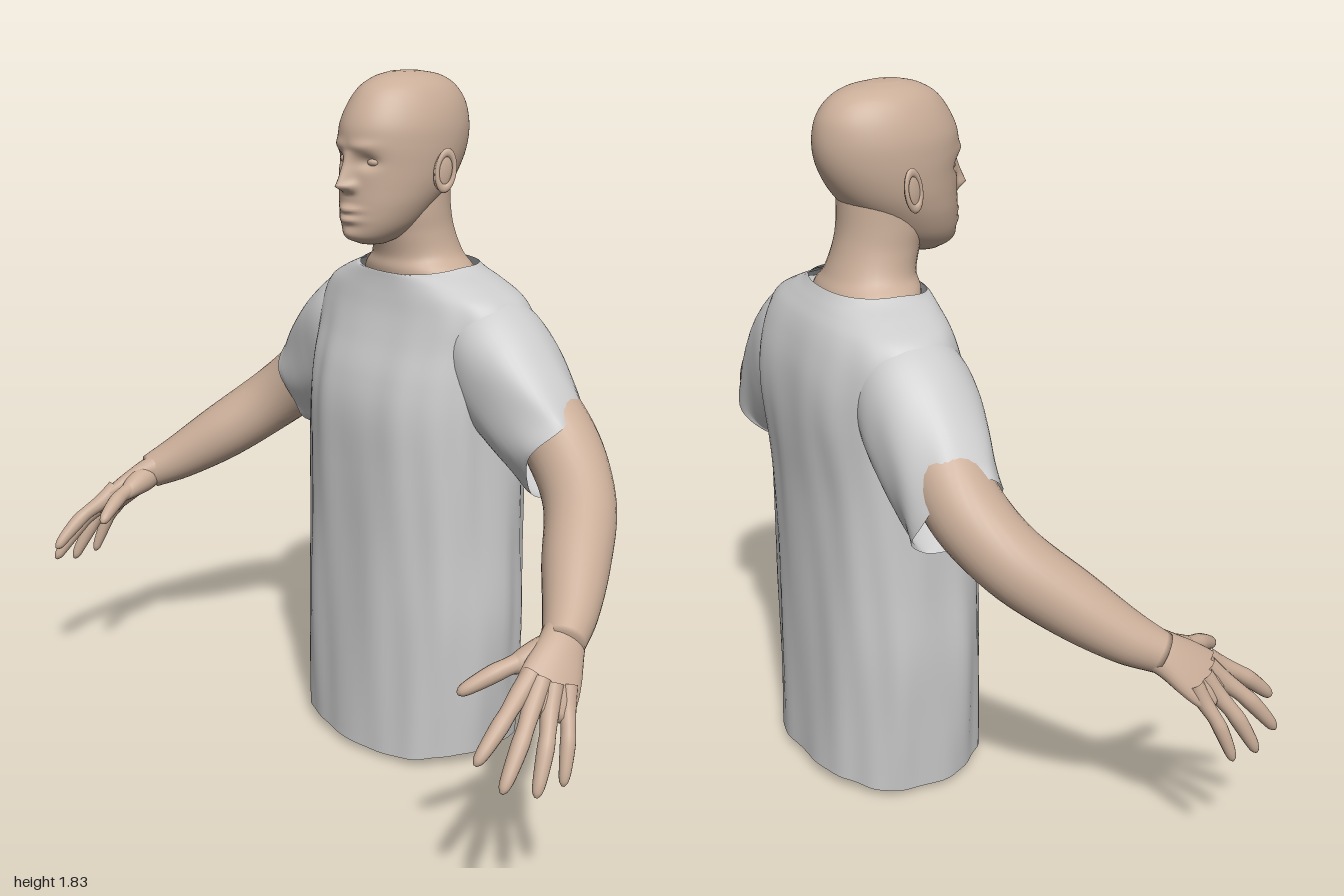
import * as THREE from 'three';

const V = (x, y, z) => new THREE.Vector3(x, y, z);
const gauss = (d, s) => Math.exp(-(d * d) / (s * s));
const skin = new THREE.MeshStandardMaterial({ color: 0xc9ad98 });
const cloth = new THREE.MeshStandardMaterial({ color: 0xcccccc, side: THREE.DoubleSide });

// Smooth skin through elliptical sections {c: centre, a, b: half axes}.
function loft(sections, { n = 32, steps = 40, power = 2, capStart, capEnd, deform } = {}) {
  const [C, A, B] = ['c', 'a', 'b'].map(
    (k) => new THREE.CatmullRomCurve3(sections.map((s) => s[k]), false, 'catmullrom', 0.5));
  const pos = [], index = [];
  const bend = (t) => Math.sign(t) * Math.pow(Math.abs(t), 2 / power);
  for (let i = 0; i <= steps; i++) {
    const t = i / steps, c = C.getPoint(t), a = A.getPoint(t), b = B.getPoint(t);
    for (let j = 0; j < n; j++) {
      const th = (j / n) * Math.PI * 2;
      const p = c.clone().addScaledVector(a, bend(Math.cos(th))).addScaledVector(b, bend(Math.sin(th)));
      if (deform) deform(p, th, t);
      pos.push(p.x, p.y, p.z);
    }
  }
  const s0 = sections[0], s1 = sections[1];
  const flip = s0.a.clone().cross(s0.b).dot(s1.c.clone().sub(s0.c)) > 0;
  const tri = (p, q, r) => (flip ? index.push(p, r, q) : index.push(p, q, r));
  for (let i = 0; i < steps; i++) {
    for (let j = 0; j < n; j++) {
      const k = (j + 1) % n, o = i * n, u = o + n;
      tri(o + j, u + j, o + k);
      tri(o + k, u + j, u + k);
    }
  }
  const cap = (point, row, reverse) => {
    const m = pos.length / 3, o = row * n;
    pos.push(point.x, point.y, point.z);
    for (let j = 0; j < n; j++) {
      const k = (j + 1) % n;
      if (reverse) tri(m, o + j, o + k);
      else tri(m, o + k, o + j);
    }
  };
  if (capStart) cap(capStart, 0, true);
  if (capEnd) cap(capEnd, steps, false);
  const g = new THREE.BufferGeometry();
  g.setAttribute('position', new THREE.Float32BufferAttribute(pos, 3));
  g.setIndex(index);
  g.computeVertexNormals();
  return g;
}

// Horizontal sections from rows of [y, half width, front z, back z].
const levels = (rows) => rows.map(([y, w, f, k]) => ({
  c: V(0, y, (f + k) / 2), a: V(w, 0, 0), b: V(0, 0, (f - k) / 2) }));

// Round limb along rows of [x, y, z, radius].
function limb(rows, opts) {
  const pts = rows.map((r) => V(r[0], r[1], r[2]));
  const sections = pts.map((c, i) => {
    const t = pts[Math.min(i + 1, pts.length - 1)].clone().sub(pts[Math.max(i - 1, 0)]).normalize();
    const a = t.clone().cross(V(1, 0, 0)).normalize(), b = t.clone().cross(a);
    return { c, a: a.multiplyScalar(rows[i][3]), b: b.multiplyScalar(rows[i][3]) };
  });
  return loft(sections, { capEnd: pts[pts.length - 1], ...opts });
}

// Mirror a geometry across x and restore its winding.
function mirrored(geo) {
  const g = geo.clone().scale(-1, 1, 1), ix = g.index.array;
  for (let i = 0; i < ix.length; i += 3) [ix[i + 1], ix[i + 2]] = [ix[i + 2], ix[i + 1]];
  g.computeVertexNormals();
  return g;
}

export function createModel() {
  const model = new THREE.Group();
  model.name = 'figure';
  const add = (name, geo, mat) => {
    const m = new THREE.Mesh(geo, mat);
    m.name = name;
    model.add(m);
  };
  const pair = (name, geo, mat) => {
    add('left' + name, geo, mat);
    add('right' + name, mirrored(geo), mat);
  };

  // Head, with the face pushed out and in by soft bumps
  const face = (p) => {
    if (p.z < -0.1) return;
    const x = Math.abs(p.x), y = p.y;
    const ridge = Math.max(0, y > 1.55 ? 1 - (y - 1.55) / 0.09 : 1 - (1.55 - y) / 0.022);
    p.z += 0.042 * ridge * gauss(x, 0.018)
      + 0.012 * gauss(x - 0.022, 0.012) * gauss(y - 1.55, 0.013)
      + 0.015 * gauss(x, 0.034) * (gauss(y - 1.49, 0.009) + gauss(y - 1.464, 0.01))
      + 0.008 * gauss(x, 0.03) * gauss(y - 1.425, 0.018)
      + 0.007 * gauss(x - 0.045, 0.035) * gauss(y - 1.652, 0.014)
      - 0.016 * gauss(x - 0.053, 0.026) * gauss(y - 1.612, 0.018);
  };
  add('head', loft(levels([
    [1.397, 0.035, 0.0, -0.08], [1.415, 0.062, 0.036, -0.13], [1.45, 0.09, 0.045, -0.18],
    [1.5, 0.113, 0.045, -0.23], [1.55, 0.127, 0.043, -0.28], [1.6, 0.134, 0.043, -0.313],
    [1.65, 0.136, 0.047, -0.332], [1.7, 0.132, 0.043, -0.336], [1.75, 0.117, 0.02, -0.325],
    [1.79, 0.094, -0.012, -0.295], [1.815, 0.064, -0.055, -0.25], [1.827, 0.03, -0.1, -0.19],
  ]), { n: 128, steps: 110, capStart: V(0, 1.393, -0.04), capEnd: V(0, 1.83, -0.145), deform: face }), skin);

  // Eyes and ears
  const eye = new THREE.SphereGeometry(0.021, 20, 14).scale(1, 0.65, 1).translate(0.053, 1.612, -0.001);
  pair('Eye', eye, skin);
  const ear = new THREE.SphereGeometry(1, 20, 16).scale(0.012, 0.05, 0.026)
    .rotateX(-0.15).rotateY(-0.25).translate(0.143, 1.585, -0.15);
  pair('Ear', ear, skin);
  const earRim = new THREE.TorusGeometry(0.024, 0.006, 10, 28).scale(1, 1.9, 1)
    .rotateY(Math.PI / 2 - 0.3).rotateX(-0.15).translate(0.152, 1.587, -0.152);
  pair('EarRim', earRim, skin);

  // Neck spreading into the shoulders
  add('neck', loft(levels([
    [1.26, 0.2, -0.09, -0.335], [1.32, 0.165, -0.077, -0.327], [1.36, 0.126, -0.08, -0.308],
    [1.42, 0.109, -0.065, -0.287], [1.48, 0.105, -0.05, -0.276], [1.57, 0.1, -0.05, -0.275],
  ])), skin);

  // Lower body closed under the hem, rising toward the back
  add('torso', loft(levels([
    [0.035, 0.29, 0.035, -0.39], [0.3, 0.305, 0.02, -0.39],
    [0.6, 0.295, 0.015, -0.39], [0.95, 0.28, 0.0, -0.39],
  ]), { n: 48, power: 2.3, capStart: V(0, 0.002, -0.01),
    deform: (p, th, t) => { p.y += 0.1 * (1 - t) * Math.max(0, -Math.sin(th)); } }), skin);

  // Shirt body with loose vertical folds, wavy hem and dipped neckline
  const folds = (p, th, t) => {
    const low = 1 - THREE.MathUtils.smoothstep(t, 0.45, 0.9);
    const r = 1 + low * (0.012 * Math.sin(9 * th + 4 * p.y) + 0.007 * Math.sin(17 * th - 6 * p.y));
    p.x *= r;
    p.z = -0.19 + (p.z + 0.19) * r;
    if (p.z < -0.3) p.z -= 0.014 * gauss(Math.abs(p.x) - 0.17, 0.08) * gauss(p.y - 1.08, 0.14);
    p.y += 0.008 * Math.sin(3 * th + 1) * gauss(t, 0.06);
    p.y -= 0.018 * Math.max(0, Math.sin(th)) * gauss(1 - t, 0.06);
  };
  add('shirtBody', loft(levels([
    [0.025, 0.308, 0.052, -0.425], [0.2, 0.322, 0.047, -0.42], [0.4, 0.333, 0.042, -0.418],
    [0.6, 0.328, 0.038, -0.418], [0.8, 0.326, 0.038, -0.422], [0.95, 0.325, 0.035, -0.43],
    [1.05, 0.33, 0.015, -0.43], [1.14, 0.34, -0.02, -0.422], [1.21, 0.345, -0.045, -0.405],
    [1.26, 0.315, -0.058, -0.385], [1.295, 0.25, -0.065, -0.362], [1.318, 0.195, -0.068, -0.345],
    [1.335, 0.168, -0.07, -0.333],
  ]), { n: 96, steps: 90, power: 2.4, deform: folds }), cloth);

  // Sleeves from rows of [top x, top y, bottom x, bottom y, half depth]
  const sleeve = [
    [0.19, 1.285, 0.2, 1.0, 0.13], [0.3, 1.265, 0.27, 0.93, 0.148], [0.39, 1.205, 0.33, 0.875, 0.142],
    [0.47, 1.12, 0.385, 0.825, 0.128], [0.525, 1.05, 0.425, 0.79, 0.116], [0.556, 1.0, 0.447, 0.775, 0.108],
  ].map(([tx, ty, bx, by, d], i) => ({
    c: V((tx + bx) / 2, (ty + by) / 2, -0.225 - i * 0.002),
    a: V((tx - bx) / 2, (ty - by) / 2, 0.004 * i), b: V(0, 0, d) }));
  pair('Sleeve', loft(sleeve, { n: 48, power: 2.2, deform: (p, th, t) => {
    p.z += 0.006 * t * Math.sin(5 * th + 8 * t);
    p.x += 0.012 * gauss(1 - t, 0.1) * Math.sin(3 * th);
  } }), cloth);

  // Bent arms
  pair('Arm', limb([
    [0.3, 1.09, -0.23, 0.1], [0.44, 0.99, -0.235, 0.1], [0.54, 0.9, -0.222, 0.096],
    [0.64, 0.81, -0.165, 0.09], [0.73, 0.717, -0.06, 0.083], [0.81, 0.64, 0.04, 0.066],
    [0.86, 0.597, 0.115, 0.05],
  ]), skin);

  // Palm: flattened sections across the knuckle line
  const across = V(0.5, -0.38, -0.77).normalize(), thick = V(0.6, 0.8, 0).normalize();
  const palm = [
    [0.835, 0.62, 0.08, 0.052, 0.045], [0.865, 0.59, 0.13, 0.06, 0.038],
    [0.89, 0.55, 0.18, 0.074, 0.034], [0.91, 0.515, 0.22, 0.078, 0.028], [0.922, 0.488, 0.245, 0.066, 0.018],
  ].map(([x, y, z, w, h]) => ({
    c: V(x, y, z), a: across.clone().multiplyScalar(w), b: thick.clone().multiplyScalar(h) }));
  pair('Palm', loft(palm, { n: 28, steps: 24, capEnd: V(0.926, 0.482, 0.252) }), skin);

  // Fingers: [name, knuckle, tip, radius], slightly arched
  [
    ['IndexFinger', V(0.882, 0.53, 0.275), V(0.9, 0.41, 0.425), 0.021],
    ['MiddleFinger', V(0.91, 0.51, 0.26), V(0.957, 0.355, 0.397), 0.021],
    ['RingFinger', V(0.93, 0.495, 0.225), V(0.985, 0.33, 0.318), 0.02],
    ['LittleFinger', V(0.942, 0.49, 0.18), V(0.992, 0.335, 0.24), 0.018],
    ['Thumb', V(0.825, 0.575, 0.2), V(0.76, 0.51, 0.35), 0.022],
  ].forEach(([name, root, tip, r]) => {
    const rows = [[-0.3, 1.15], [0, 1.1], [0.3, 0.95], [0.5, 1], [0.8, 0.82], [0.94, 0.6], [1, 0.2]].map(([t, k]) => {
      const p = root.clone().lerp(tip, t).addScaledVector(thick, 0.012 * Math.sin(Math.PI * Math.max(0, t)));
      return [p.x, p.y, p.z, r * k];
    });
    pair(name, limb(rows, { n: 16, steps: 24 }), skin);
  });
  // Fleshy base joining thumb to wrist
  pair('ThumbBase', limb([
    [0.855, 0.6, 0.1, 0.034], [0.84, 0.585, 0.155, 0.038], [0.822, 0.57, 0.21, 0.028], [0.805, 0.555, 0.25, 0.012],
  ], { n: 20, steps: 20 }), skin);

  return model;
}
